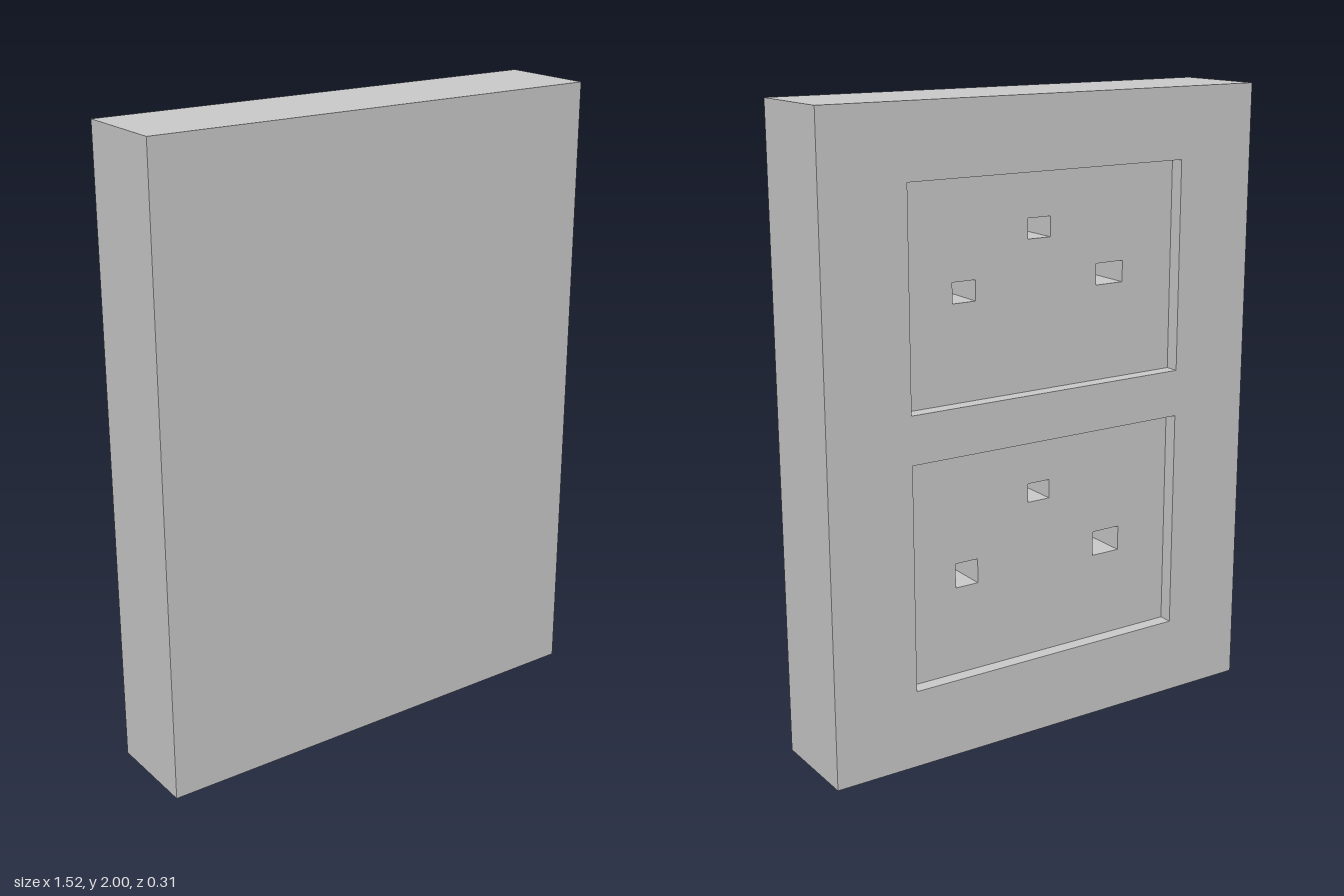
import * as THREE from 'three';

const W = 1.52, H = 2, D = 0.31;
const BACK = -D / 2, FLOOR = BACK + 0.045, SLOT_END = FLOOR + 0.17;

const material = new THREE.MeshStandardMaterial({ color: 0xcccccc });

// Rectangles are [xMin, xMax, yMin, yMax]
const OUTLINE = [-W / 2, W / 2, 0, H];
const OUTLETS = [
  {
    name: 'upper', recess: [-0.485, 0.485, 1.11, 1.778],
    slots: [[0.238, 0.317, 1.41, 1.473], [-0.026, 0.054, 1.575, 1.637], [-0.297, -0.197, 1.41, 1.477]],
  },
  {
    name: 'lower', recess: [-0.485, 0.485, 0.248, 0.96],
    slots: [[0.238, 0.317, 0.53, 0.608], [-0.026, 0.054, 0.755, 0.815], [-0.297, -0.197, 0.528, 0.608]],
  },
];

// Turn a geometry inside out
function flip(geometry) {
  geometry.setIndex(Array.from(geometry.index.array).reverse());
  geometry.computeVertexNormals();
  return geometry;
}

// Box without its back (5 faces), or without back and front (4 faces)
function openBox([x0, x1, y0, y1], z0, z1, faces) {
  const geometry = new THREE.BoxGeometry(x1 - x0, y1 - y0, z1 - z0);
  geometry.translate((x0 + x1) / 2, (y0 + y1) / 2, (z0 + z1) / 2);
  geometry.setIndex(Array.from(geometry.index.array).slice(0, faces * 6));
  geometry.clearGroups();
  return geometry;
}

function trace(path, [x0, x1, y0, y1]) {
  path.moveTo(x0, y0);
  path.lineTo(x1, y0);
  path.lineTo(x1, y1);
  path.lineTo(x0, y1);
  path.closePath();
  return path;
}

// Flat panel facing -z with rectangular openings
function panel(rect, openings, z) {
  const shape = trace(new THREE.Shape(), rect);
  shape.holes = openings.map((o) => trace(new THREE.Path(), o));
  return flip(new THREE.ShapeGeometry(shape).translate(0, 0, z));
}

export function createModel() {
  const model = new THREE.Group();
  model.name = 'doubleSocketPlate';

  function add(parent, name, geometry) {
    const mesh = new THREE.Mesh(geometry, material);
    mesh.name = name;
    parent.add(mesh);
  }

  // Solid slab and its pierced back
  add(model, 'slab', openBox(OUTLINE, BACK, D / 2, 5));
  add(model, 'backPanel', panel(OUTLINE, OUTLETS.map((o) => o.recess), BACK));

  // Two recessed outlets, each with three deep square slots
  for (const { name, recess, slots } of OUTLETS) {
    const outlet = new THREE.Group();
    outlet.name = `${name}Outlet`;
    add(outlet, 'recessWalls', flip(openBox(recess, BACK, FLOOR, 4)));
    add(outlet, 'recessFloor', panel(recess, slots, FLOOR));
    slots.forEach((slot, i) => add(outlet, `slot${i + 1}`, flip(openBox(slot, FLOOR, SLOT_END, 5))));
    model.add(outlet);
  }
  return model;
}
